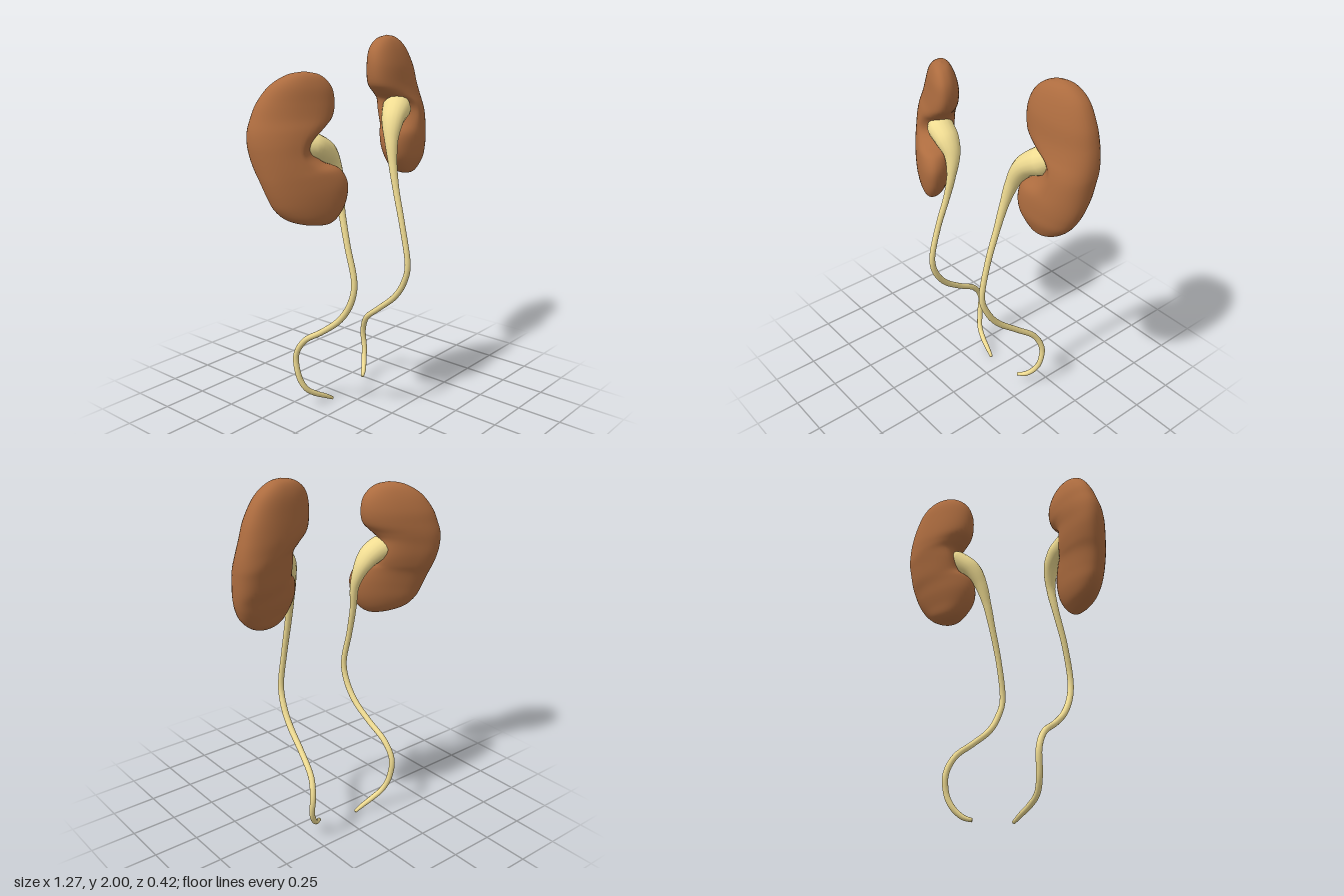
import * as THREE from 'three';
import { mergeVertices } from 'three/addons/utils/BufferGeometryUtils.js';

const kidneyMat = new THREE.MeshStandardMaterial({ color: 0xad6c3f });
const ureterMat = new THREE.MeshStandardMaterial({ color: 0xf0dc92 });

// Weld seams so that shading stays smooth all round
function smooth(geo) {
  geo.deleteAttribute('uv');
  geo.deleteAttribute('normal');
  const welded = mergeVertices(geo, 1e-5);
  welded.computeVertexNormals();
  return welded;
}

const spline = (pts) => new THREE.CatmullRomCurve3(pts, false, 'catmullrom', 0.5);
const power = (v, e) => Math.sign(v) * Math.abs(v) ** e;

// Bean lofted from fanned sections: [medial x, y, lateral x, y, z, half thickness]
function kidney(name, rows, side, yaw) {
  const medial = spline(rows.map((r) => new THREE.Vector3(r[0], r[1], r[4])));
  const lateral = spline(rows.map((r) => new THREE.Vector3(r[2], r[3], r[5])));
  const N = 40, M = 72, pos = [], index = [];
  for (let j = 0; j <= M; j++) {
    const t = j / M;
    const m = medial.getPoint(t), l = lateral.getPoint(t);
    const h = Math.max(0, l.z);
    const cx = (m.x + l.x) / 2, cy = (m.y + l.y) / 2;
    const hilum = Math.exp(-(((t - 0.5) / 0.1) ** 2));
    for (let i = 0; i < N; i++) {
      const a = (i / N) * Math.PI * 2;
      const c = power(Math.cos(a), 0.88), s = power(Math.sin(a), 0.88);
      // at the hilum the back lip reaches further inwards than the front lip
      const x = cx + (l.x - cx) * c + 0.09 * hilum * Math.max(0, -c) * s;
      const y = cy + (l.y - cy) * c;
      const z = m.z + side * h * s + yaw * (x - side * 0.43);
      pos.push(x, y, z);
      if (j < M) {
        const k = (i + 1) % N, p = j * N, q = p + N;
        index.push(p + i, p + k, q + i, p + k, q + k, q + i);
      }
    }
  }
  const geo = new THREE.BufferGeometry();
  geo.setAttribute('position', new THREE.Float32BufferAttribute(pos, 3));
  geo.setIndex(index);
  const mesh = new THREE.Mesh(smooth(geo), kidneyMat);
  mesh.name = name;
  return mesh;
}

// Tapering tube: [x, y, z, radius]; the wide funnel end is deeper in z
function ureter(name, pts) {
  const curve = spline(pts.map((p) => new THREE.Vector3(p[0], p[1], p[2])));
  const S = 120, R = 16;
  const geo = new THREE.TubeGeometry(curve, S, 1, R, false);
  const pos = geo.attributes.position, nor = geo.attributes.normal;
  const v = new THREE.Vector3(), n = new THREE.Vector3();
  for (let j = 0; j <= S; j++) {
    // the outermost rings shrink to a point and close the ends
    const u = Math.min(Math.max(j - 1, 0), S - 2) / (S - 2);
    const f = curve.getUtoTmapping(u) * (pts.length - 1);
    const k = Math.min(Math.floor(f), pts.length - 2);
    const r = j === 0 || j === S ? 0 : THREE.MathUtils.lerp(pts[k][3], pts[k + 1][3], f - k);
    const deep = 1 + 0.15 * THREE.MathUtils.smoothstep(r, 0.02, 0.05);
    const centre = curve.getPointAt(u);
    for (let i = 0; i <= R; i++) {
      const id = j * (R + 1) + i;
      n.fromBufferAttribute(nor, id).multiplyScalar(r);
      n.z *= deep;
      v.copy(centre).add(n);
      pos.setXYZ(id, v.x, v.y, v.z);
    }
  }
  const mesh = new THREE.Mesh(smooth(geo), ureterMat);
  mesh.name = name;
  return mesh;
}

export function createModel() {
  const model = new THREE.Group();
  model.name = 'kidneysAndUreters';

  model.add(kidney('leftKidney', [
    [0.39, 2.0, 0.39, 2.0, -0.125, 0],
    [0.31, 1.98, 0.46, 1.985, -0.125, 0.042],
    [0.25, 1.93, 0.535, 1.93, -0.12, 0.072],
    [0.225, 1.85, 0.59, 1.83, -0.11, 0.093],
    [0.235, 1.75, 0.615, 1.74, -0.105, 0.103],
    [0.285, 1.70, 0.628, 1.67, -0.095, 0.108],
    [0.345, 1.66, 0.633, 1.61, -0.083, 0.112],
    [0.36, 1.60, 0.632, 1.56, -0.07, 0.112],
    [0.335, 1.535, 0.627, 1.48, -0.055, 0.11],
    [0.278, 1.488, 0.618, 1.42, -0.04, 0.105],
    [0.262, 1.42, 0.602, 1.37, -0.03, 0.098],
    [0.28, 1.35, 0.575, 1.32, -0.02, 0.085],
    [0.33, 1.285, 0.53, 1.275, -0.018, 0.065],
    [0.38, 1.255, 0.48, 1.252, -0.01, 0.04],
    [0.43, 1.245, 0.43, 1.245, -0.005, 0],
  ], 1, -0.1));

  model.add(kidney('rightKidney', [
    [-0.38, 1.865, -0.38, 1.865, -0.03, 0],
    [-0.31, 1.845, -0.45, 1.85, -0.035, 0.045],
    [-0.26, 1.79, -0.525, 1.80, -0.04, 0.075],
    [-0.245, 1.72, -0.58, 1.72, -0.045, 0.093],
    [-0.26, 1.65, -0.61, 1.65, -0.04, 0.102],
    [-0.305, 1.60, -0.63, 1.59, -0.03, 0.11],
    [-0.345, 1.55, -0.636, 1.53, -0.02, 0.112],
    [-0.355, 1.48, -0.632, 1.47, -0.01, 0.112],
    [-0.325, 1.43, -0.622, 1.40, 0.005, 0.11],
    [-0.27, 1.40, -0.61, 1.34, 0.02, 0.105],
    [-0.24, 1.33, -0.59, 1.27, 0.03, 0.1],
    [-0.25, 1.24, -0.565, 1.21, 0.035, 0.09],
    [-0.285, 1.17, -0.52, 1.16, 0.042, 0.07],
    [-0.33, 1.13, -0.455, 1.133, 0.05, 0.04],
    [-0.38, 1.12, -0.38, 1.12, 0.05, 0],
  ], -1, 0.45));

  model.add(ureter('leftUreter', [
    [0.44, 1.64, -0.07, 0.045], [0.37, 1.612, -0.03, 0.073],
    [0.29, 1.555, 0.005, 0.056], [0.242, 1.46, 0.035, 0.036],
    [0.218, 1.34, 0.065, 0.024], [0.205, 1.2, 0.10, 0.018],
    [0.196, 1.0, 0.155, 0.016], [0.196, 0.8, 0.193, 0.016],
    [0.205, 0.68, 0.16, 0.017], [0.213, 0.58, 0.09, 0.017],
    [0.228, 0.48, -0.03, 0.016], [0.25, 0.39, -0.14, 0.016],
    [0.272, 0.29, -0.185, 0.016], [0.272, 0.19, -0.175, 0.015],
    [0.245, 0.12, -0.155, 0.015], [0.205, 0.075, -0.125, 0.014],
    [0.165, 0.06, -0.10, 0.01],
  ]));

  model.add(ureter('rightUreter', [
    [-0.44, 1.53, -0.03, 0.04], [-0.365, 1.512, 0.015, 0.065],
    [-0.288, 1.472, 0.03, 0.058], [-0.235, 1.405, 0.04, 0.04],
    [-0.214, 1.30, 0.065, 0.024], [-0.227, 1.17, 0.09, 0.018],
    [-0.243, 1.0, 0.14, 0.016], [-0.245, 0.82, 0.187, 0.016],
    [-0.25, 0.7, 0.17, 0.017], [-0.257, 0.59, 0.10, 0.017],
    [-0.27, 0.50, -0.01, 0.016], [-0.282, 0.42, -0.13, 0.016],
    [-0.29, 0.32, -0.19, 0.016], [-0.284, 0.20, -0.18, 0.016],
    [-0.255, 0.12, -0.155, 0.015], [-0.20, 0.075, -0.135, 0.015],
    [-0.135, 0.04, -0.12, 0.013], [-0.088, 0.012, -0.11, 0.009],
  ]));

  return model;
}
